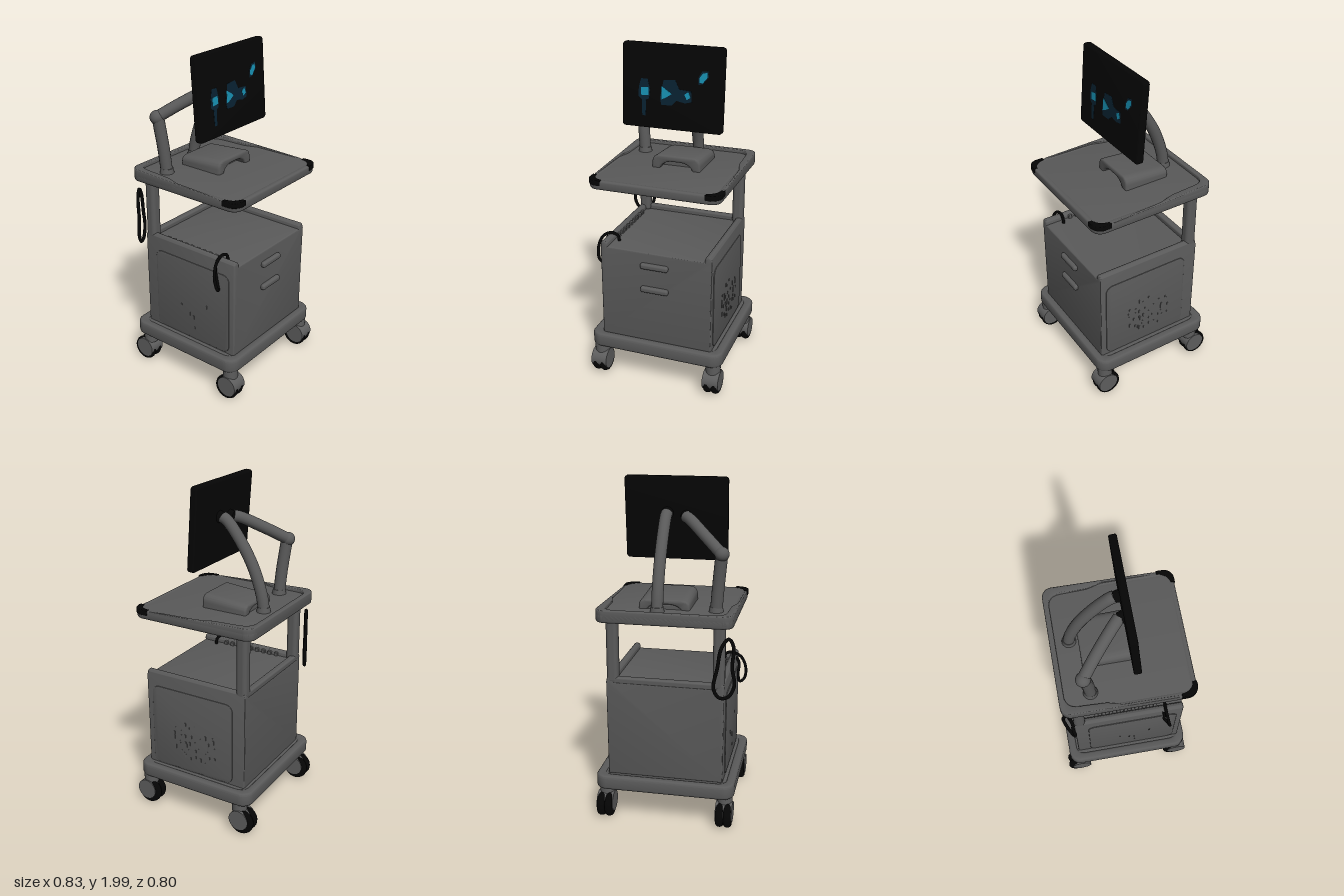
import * as THREE from 'three';
import { toCreasedNormals } from 'three/addons/utils/BufferGeometryUtils.js';
import { RoundedBoxGeometry } from 'three/addons/geometries/RoundedBoxGeometry.js';

const paint = (name, color) => {
  const m = new THREE.MeshStandardMaterial({ color });
  m.name = name;
  return m;
};

export function createModel() {
  const grey = paint('bodyGrey', 0x5a5a5a);
  const light = paint('casterGrey', 0x5e5e5e);
  const black = paint('black', 0x050505);
  const cyan = paint('screenCyan', 0x1893b5);
  const teal = paint('screenTeal', 0x082333);
  const root = new THREE.Group();
  root.name = 'equipmentCart';

  const add = (name, geo, mat, x = 0, y = 0, z = 0, parent = root) => {
    const m = new THREE.Mesh(geo, mat);
    m.name = name;
    m.position.set(x, y, z);
    parent.add(m);
    return m;
  };
  // rounded box given by its minimum and maximum corners
  const block = (name, mat, a, b, r = 0.01, parent = root) =>
    add(name, new RoundedBoxGeometry(b[0] - a[0], b[1] - a[1], b[2] - a[2], 3, r), mat,
      (a[0] + b[0]) / 2, (a[1] + b[1]) / 2, (a[2] + b[2]) / 2, parent);
  const roundRect = (x0, y0, x1, y1, r, P = THREE.Shape) => {
    const s = new P();
    s.moveTo(x0 + r, y0);
    s.lineTo(x1 - r, y0).absarc(x1 - r, y0 + r, r, -Math.PI / 2, 0);
    s.lineTo(x1, y1 - r).absarc(x1 - r, y1 - r, r, 0, Math.PI / 2);
    s.lineTo(x0 + r, y1).absarc(x0 + r, y1 - r, r, Math.PI / 2, Math.PI);
    s.lineTo(x0, y0 + r).absarc(x0 + r, y0 + r, r, Math.PI, Math.PI * 1.5);
    return s;
  };
  const extrude = (shape, h, b) => new THREE.ExtrudeGeometry(shape, {
    depth: h - 2 * b, bevelEnabled: b > 0, bevelThickness: b, bevelSize: b, bevelOffset: -b,
    bevelSegments: 3, curveSegments: 10,
  }).translate(0, 0, b);
  // horizontal slab; shape y runs towards the back
  const slab = (shape, h, b) => toCreasedNormals(extrude(shape, h, b).rotateX(-Math.PI / 2), 0.6);
  const tube = (name, mat, pts, r, closed = false) => {
    const curve = new THREE.CatmullRomCurve3(pts.map((p) => new THREE.Vector3(...p)), closed);
    return add(name, new THREE.TubeGeometry(curve, 48, r, 16, closed), mat);
  };

  // base frame with a recessed underside and slats
  const frame = roundRect(-0.413, -0.388, 0.413, 0.383, 0.07);
  frame.holes.push(roundRect(-0.36, -0.335, 0.36, 0.33, 0.05, THREE.Path));
  add('baseFrame', slab(frame, 0.085, 0.015), grey, 0, 0.2, 0);
  block('baseDeck', grey, [-0.365, 0.24, -0.335], [0.365, 0.282, 0.34]);
  const under = roundRect(-0.25, -0.25, 0.25, 0.25, 0.04);
  under.holes.push(roundRect(-0.21, -0.21, 0.21, 0.21, 0.02, THREE.Path));
  add('undersideFrame', slab(under, 0.04, 0.008), grey, 0, 0.203, 0);
  for (let i = 0; i < 6; i++) {
    const z = -0.175 + i * 0.07;
    block('undersideSlat', grey, [-0.22, 0.21, z - 0.016], [0.22, 0.242, z + 0.016], 0.006);
  }

  // twin wheel casters with a cover set high over the wheels
  const tyre = [[0, -0.022], [0.062, -0.022], [0.07, -0.017], [0.075, -0.006], [0.075, 0.006],
    [0.07, 0.017], [0.062, 0.022], [0, 0.022]].map((p) => new THREE.Vector2(...p));
  for (const sx of [-1, 1]) for (const sz of [-1, 1]) {
    const c = new THREE.Group();
    c.name = 'caster';
    c.position.set(sx * 0.357, 0.083, sz * 0.327);
    root.add(c);
    const stemZ = sz > 0 ? 0.006 : 0.028;
    add('casterStem', new THREE.CylinderGeometry(0.046, 0.044, 0.065, 20), light, 0, 0.093, stemZ, c);
    add('wheelCover', new THREE.CylinderGeometry(0.062, 0.062, 0.098, 32).rotateZ(Math.PI / 2), light, 0, 0.015, 0.012, c);
    for (const s of [-1, 1])
      add('tyre', new THREE.LatheGeometry(tyre, 32).rotateZ(Math.PI / 2), black, s * 0.0235, 0, 0, c);
  }

  // cabinet with raised side rims, rear rim and rear posts
  const body = new THREE.Shape();
  body.moveTo(-0.342, 0.28);
  body.lineTo(0.342, 0.28).lineTo(0.342, 0.872).absarc(0.32, 0.871, 0.022, 0, Math.PI);
  body.lineTo(0.298, 0.86).lineTo(-0.298, 0.86).lineTo(-0.298, 0.871).absarc(-0.32, 0.871, 0.022, 0, Math.PI);
  add('cabinet', toCreasedNormals(extrude(body, 0.667, 0.01), 0.6), grey, 0, 0, -0.321);
  block('rearRim', grey, [-0.31, 0.85, -0.32], [0.31, 0.89, -0.28], 0.012);
  for (const s of [-1, 1])
    block('rearPost', grey, [s * 0.308 - 0.034, 0.85, -0.322], [s * 0.308 + 0.034, 1.26, -0.254], 0.024);
  for (let i = 0; i < 9; i++) {
    const z = -0.18 + i * 0.045;
    block('rimRib', grey, [-0.305, 0.855, z - 0.012], [-0.285, 0.882, z + 0.012], 0.005);
  }

  // drawer handles
  for (const y of [0.78, 0.63]) block('drawerHandle', grey, [-0.088, y - 0.018, 0.335], [0.082, y + 0.018, 0.37], 0.014);

  // side panels, with small raised vent louvres mostly on the left
  let seed = 7;
  const rnd = () => (seed = (seed * 16807) % 2147483647) / 2147483647;
  for (const s of [-1, 1]) {
    const panel = extrude(roundRect(-0.24, 0.288, 0.31, 0.8, 0.045), 0.012, 0.004);
    panel.rotateY(-Math.PI / 2).translate(s > 0 ? 0.012 : 0, 0, 0);
    add('sidePanel', toCreasedNormals(panel, 0.6), grey, s * 0.335, 0, 0);
    for (let r = 0; r < 7; r++) for (let k = 0; k < 9; k++) {
      const dz = (k - 4) / 4.5, dy = (r - 3) / 3.5;
      if (dz * dz + dy * dy > 1.15 || rnd() < (s > 0 ? 0.35 : 0.92)) continue;
      add('ventLouvre', new THREE.BoxGeometry(0.006, 0.01 + rnd() * 0.018, 0.008), grey,
        s * 0.347, 0.48 + dy * 0.125 + (rnd() - 0.5) * 0.03, 0.015 - dz * 0.15 + (rnd() - 0.5) * 0.02);
    }
  }

  // work tray, hollow below, with a rim that fades out towards the front
  const trayEdge = roundRect(-0.39, -0.392, 0.39, 0.382, 0.06);
  trayEdge.holes.push(roundRect(-0.355, -0.357, 0.355, 0.347, 0.04, THREE.Path));
  add('trayEdge', slab(trayEdge, 0.054, 0.01), grey, 0, 1.228, 0);
  add('trayTop', slab(roundRect(-0.375, -0.377, 0.375, 0.367, 0.05), 0.022, 0.002), grey, 0, 1.259, 0);
  const rim = new THREE.Shape();
  rim.moveTo(-0.39, -0.28);
  rim.lineTo(-0.376, -0.28).lineTo(-0.374, 0.03).lineTo(-0.35, 0.12).lineTo(-0.345, 0.28);
  rim.quadraticCurveTo(-0.342, 0.345, -0.28, 0.35).lineTo(0.28, 0.35).quadraticCurveTo(0.342, 0.345, 0.345, 0.28);
  rim.lineTo(0.35, 0.12).lineTo(0.374, 0.03).lineTo(0.376, -0.28);
  rim.lineTo(0.39, -0.28).lineTo(0.39, 0.322).absarc(0.33, 0.322, 0.06, 0, Math.PI / 2);
  rim.lineTo(-0.33, 0.382).absarc(-0.33, 0.322, 0.06, Math.PI / 2, Math.PI);
  const rimGeo = extrude(rim, 0.06, 0.006).rotateX(-Math.PI / 2);
  const rp = rimGeo.attributes.position;
  for (let i = 0; i < rp.count; i++) {
    const fade = THREE.MathUtils.clamp((rp.getZ(i) + 0.3) / 0.58, 0, 1);
    rp.setY(i, rp.getY(i) * (1 - 0.3 * fade));
  }
  add('trayRim', toCreasedNormals(rimGeo, 0.6), grey, 0, 1.241, 0);
  const corner = new THREE.Shape();
  corner.moveTo(0.308, -0.396);
  corner.lineTo(0.335, -0.396).absarc(0.334, -0.336, 0.06, -Math.PI / 2, 0);
  corner.lineTo(0.394, -0.297).lineTo(0.37, -0.297).quadraticCurveTo(0.365, -0.36, 0.308, -0.372);
  add('trayCornerLeft', slab(corner, 0.033, 0.005), black, 0, 1.253, 0);
  const mirrored = new THREE.Shape(corner.getPoints(10).map((p) => new THREE.Vector2(-p.x, p.y)));
  add('trayCornerRight', slab(mirrored, 0.033, 0.005), black, 0, 1.253, 0);
  for (const s of [-1, 1])
    add('trayKnob', new THREE.CylinderGeometry(0.03, 0.024, 0.03, 20), grey, s * 0.135, 1.247, 0.055);

  // device on the tray: an arched cover sloping down to the back over a solid core
  const arch = new THREE.Shape();
  arch.moveTo(-0.125, 0);
  arch.lineTo(-0.08, 0).quadraticCurveTo(-0.06, 0.05, 0, 0.05).lineTo(0.045, 0.05);
  arch.quadraticCurveTo(0.105, 0.05, 0.125, 0).lineTo(0.17, 0).lineTo(0.17, 0.04);
  arch.quadraticCurveTo(0.168, 0.085, 0.12, 0.087).lineTo(-0.075, 0.087).quadraticCurveTo(-0.123, 0.085, -0.125, 0.04);
  const archGeo = extrude(arch, 0.285, 0.012);
  const ap = archGeo.attributes.position;
  for (let i = 0; i < ap.count; i++) ap.setY(i, ap.getY(i) * (0.72 + 0.28 * ap.getZ(i) / 0.285));
  add('deviceCover', toCreasedNormals(archGeo, 0.6), grey, 0, 1.273, -0.22);
  block('deviceCore', grey, [-0.085, 1.265, -0.21], [0.13, 1.312, 0.0], 0.012);

  // monitor arms
  tube('curvedArm', grey, [[0.05, 1.27, -0.275], [0.05, 1.38, -0.255], [0.05, 1.53, -0.2],
    [0.05, 1.68, -0.11], [0.05, 1.775, -0.03], [0.05, 1.79, -0.002]], 0.034);
  tube('armUpright', grey, [[-0.272, 1.27, -0.2], [-0.285, 1.43, -0.21], [-0.303, 1.61, -0.228]], 0.035);
  add('armElbow', new THREE.SphereGeometry(0.041, 24, 16), grey, -0.305, 1.614, -0.234);
  tube('armReach', grey, [[-0.312, 1.608, -0.243], [-0.2, 1.69, -0.14], [-0.09, 1.765, -0.03], [-0.062, 1.775, -0.002]], 0.034);
  add('armFoot', new THREE.CylinderGeometry(0.037, 0.044, 0.04, 24), grey, -0.273, 1.29, -0.2);
  add('armFoot', new THREE.CylinderGeometry(0.036, 0.043, 0.04, 24), grey, 0.05, 1.29, -0.27);

  // monitor, tilted back
  const monitor = new THREE.Group();
  monitor.name = 'monitor';
  monitor.position.set(0, 1.76, 0.043);
  monitor.rotation.x = -0.07;
  root.add(monitor);
  add('monitorCase', toCreasedNormals(extrude(roundRect(-0.3, -0.24, 0.3, 0.24, 0.02), 0.044, 0.01), 0.6),
    black, 0, 0, -0.022, monitor);
  for (const [x, y] of [[0.05, 0.032], [-0.062, 0.015]])
    add('armMount', new THREE.CylinderGeometry(0.028, 0.037, 0.04, 24).rotateX(-Math.PI / 2), black, x, y, -0.035, monitor);

  // screen image patches, in monitor coordinates
  const patch = (name, mat, pts, z) => {
    const s = new THREE.Shape(pts.map((p) => new THREE.Vector2(p[0], p[1] - 1.76)));
    add(name, new THREE.ExtrudeGeometry(s, { depth: 0.002, bevelEnabled: false }), mat, 0, 0, z, monitor);
  };
  patch('screenShade', teal, [[-0.185, 1.8], [-0.145, 1.8], [-0.13, 1.74], [-0.135, 1.69], [-0.152, 1.68],
    [-0.155, 1.59], [-0.175, 1.59], [-0.178, 1.68], [-0.2, 1.7], [-0.198, 1.75]], 0.021);
  patch('screenShade', teal, [[-0.05, 1.8], [0.02, 1.805], [0.045, 1.755], [0.115, 1.75], [0.12, 1.69], [0.08, 1.68],
    [0.03, 1.69], [0, 1.66], [-0.06, 1.66], [-0.07, 1.7], [-0.06, 1.74]], 0.021);
  patch('screenShade', teal, [[0.155, 1.79], [0.18, 1.795], [0.215, 1.835], [0.21, 1.87], [0.175, 1.865], [0.155, 1.83]], 0.021);
  patch('screenGlow', cyan, [[-0.185, 1.75], [-0.14, 1.755], [-0.137, 1.71], [-0.182, 1.705]], 0.022);
  patch('screenGlow', cyan, [[-0.06, 1.765], [-0.02, 1.74], [0, 1.725], [-0.03, 1.705], [-0.06, 1.69]], 0.022);
  patch('screenGlow', cyan, [[0.075, 1.73], [0.1, 1.745], [0.112, 1.715], [0.09, 1.7]], 0.022);
  patch('screenGlow', cyan, [[0.16, 1.805], [0.18, 1.8], [0.208, 1.835], [0.205, 1.86], [0.18, 1.855], [0.162, 1.83]], 0.022);

  // hanging cables; the rear loop lies in a diagonal plane behind the post
  const loop = [[-0.45, 1.168], [-0.95, 1.12], [-0.85, 1], [-1.1, 0.89], [-0.5, 0.828], [0.4, 0.828], [1, 0.89],
    [0.65, 1], [0.25, 1.12]];
  tube('rearCable', black, loop.map(([s, y]) => [-0.342 + 0.052 * s, y, -0.353 - 0.027 * s]), 0.01, true);
  tube('sideCable', black, [[-0.265, 0.85, 0.24], [-0.275, 0.89, 0.24], [-0.315, 0.902, 0.235], [-0.37, 0.875, 0.24],
    [-0.4, 0.8, 0.25], [-0.39, 0.725, 0.26], [-0.365, 0.707, 0.25], [-0.355, 0.76, 0.23], [-0.36, 0.84, 0.225],
    [-0.34, 0.88, 0.225]], 0.009);
  return root;
}
